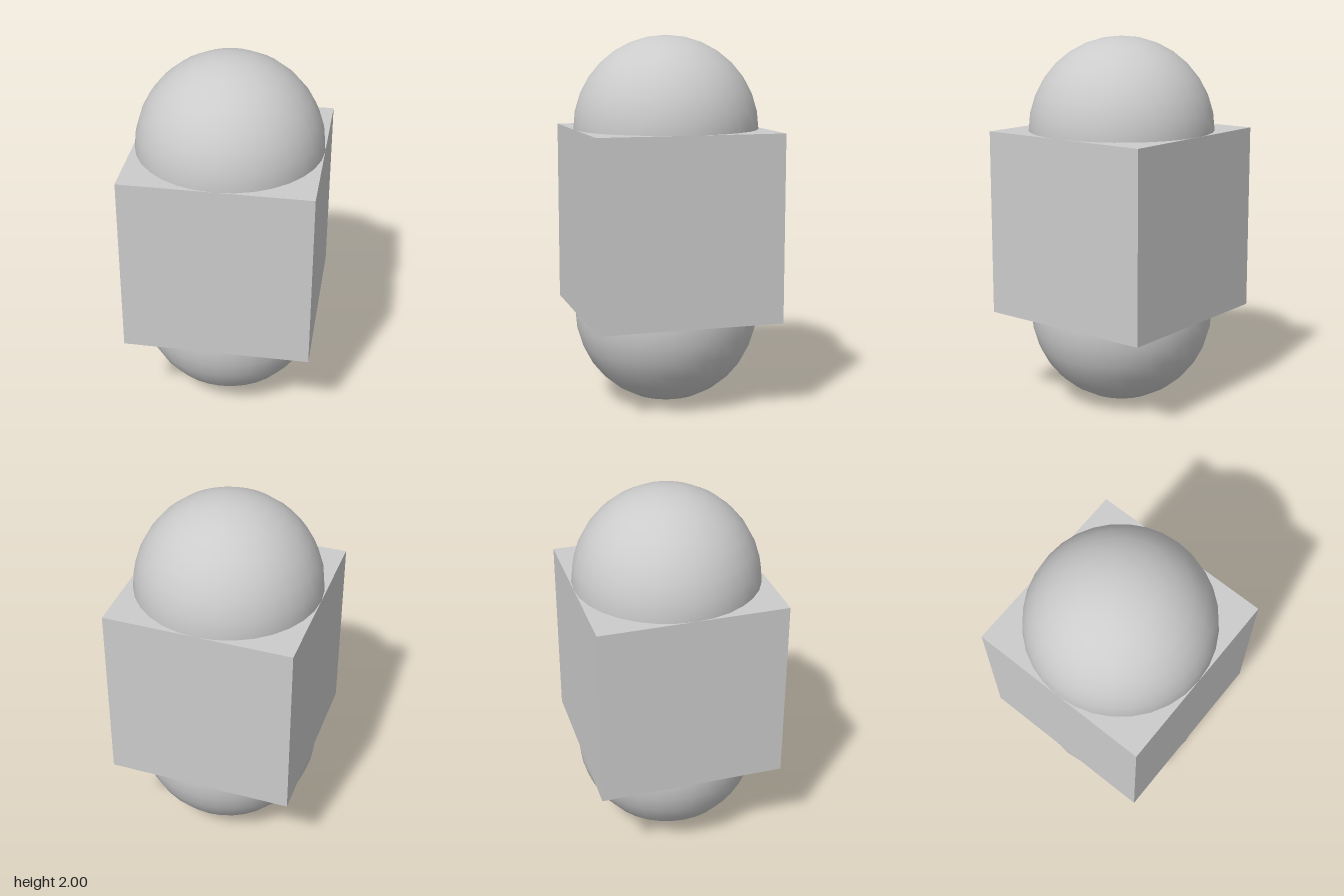
import * as THREE from 'three';

export function createModel() {
  const model = new THREE.Group();
  const material = new THREE.MeshStandardMaterial({ color: 0xcccccc });

  const addPart = (name, geometry, y) => {
    const mesh = new THREE.Mesh(geometry, material);
    mesh.name = name;
    mesh.position.y = y;
    model.add(mesh);
  };

  // Cube with a ball centred on its top and bottom faces
  const ball = new THREE.SphereGeometry(0.5, 32, 16);
  addPart('cubeBody', new THREE.BoxGeometry(1, 1, 1), 1);
  addPart('topBall', ball, 1.5);
  addPart('bottomBall', ball, 0.5);

  return model;
}
